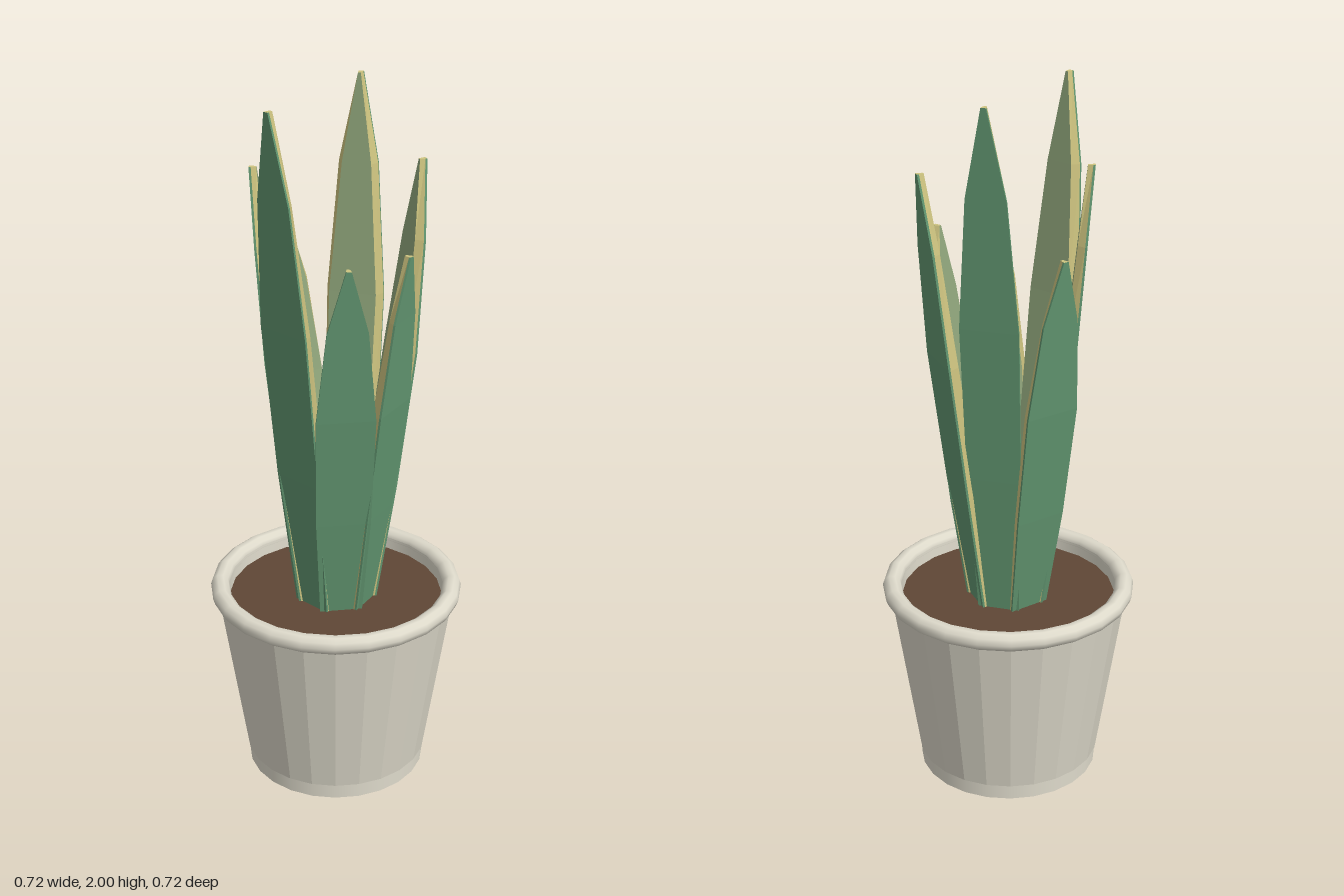
import * as THREE from 'three';

const mat = (name, color) => {
  const m = new THREE.MeshStandardMaterial({ color });
  m.name = name;
  return m;
};

export function createModel() {
  const ceramic = mat('cream ceramic', 0xdedacb);
  const earth = mat('brown soil', 0x5f4735);
  const leafBack = mat('deep leaf green', 0x639872);
  const leafFace = mat('pale leaf green', 0x92a87d);
  const margin = mat('yellow leaf margin', 0xcec480);

  const plant = new THREE.Group();
  plant.name = 'pottedPlant';

  const add = (parent, name, geometry, material, y = 0) => {
    const mesh = new THREE.Mesh(geometry, material);
    mesh.name = name;
    mesh.position.y = y;
    parent.add(mesh);
    return mesh;
  };
  const faceted = (geometry) => {
    const g = geometry.index ? geometry.toNonIndexed() : geometry;
    g.computeVertexNormals();
    return g;
  };

  // Pot: foot, tapered faceted wall, inner wall, rounded rim and soil
  const pot = new THREE.Group();
  pot.name = 'pot';
  plant.add(pot);
  add(pot, 'potFoot', new THREE.CylinderGeometry(0.257, 0.257, 0.05, 24), ceramic, 0.025);
  add(pot, 'potWall', faceted(new THREE.CylinderGeometry(0.341, 0.262, 0.515, 24, 1, true)), ceramic, 0.3025);
  const lining = new THREE.LatheGeometry(
    [new THREE.Vector2(0.306, 0.57), new THREE.Vector2(0.303, 0.5)], 24);
  add(pot, 'potLining', lining, ceramic);
  const rim = new THREE.TorusGeometry(0.332, 0.027, 10, 24).rotateX(Math.PI / 2);
  add(pot, 'potRim', rim, ceramic, 0.563);
  add(pot, 'soil', new THREE.CylinderGeometry(0.304, 0.3, 0.03, 24), earth, 0.52);

  // Leaf rows: height fraction, half width, lean fraction, thickness
  const rows = [
    [0, 0.058, 0, 0.048],
    [0.3, 0.076, 0.36, 0.042],
    [0.6, 0.081, 0.68, 0.034],
    [0.84, 0.055, 0.87, 0.026],
    [1, 0.007, 1, 0.02],
  ];
  const baseY = 0.5, baseRadius = 0.097;

  // One leaf leaning along +z: green back, sloped yellow edges, pale inner face
  const makeLeaf = (top, tipRadius) => {
    const leaf = new THREE.Group();
    const rings = rows.map(([t, w, lean, thick]) => {
      const y = baseY + (top - baseY) * t;
      const r = baseRadius + (tipRadius - baseRadius) * lean;
      const wi = Math.max(w - 0.014, 0.004);
      return [[-w, r], [w, r], [w, r - 0.006], [wi, r - thick], [-wi, r - thick], [-w, r - 0.006]]
        .map(([x, z]) => [x, y, z]);
    });
    const back = [], edge = [], face = [];
    const target = [back, back, edge, face, edge, back];
    for (let i = 0; i < rings.length - 1; i++) {
      for (let k = 0; k < 6; k++) {
        const n = (k + 1) % 6;
        const [a, b, c, d] = [rings[i][k], rings[i][n], rings[i + 1][n], rings[i + 1][k]];
        target[k].push(...a, ...b, ...c, ...a, ...c, ...d);
      }
    }
    // Tip cap
    const tip = rings[rings.length - 1];
    for (let k = 1; k < 5; k++) edge.push(...tip[0], ...tip[k], ...tip[k + 1]);

    const build = (name, positions, material) => {
      const g = new THREE.BufferGeometry();
      g.setAttribute('position', new THREE.Float32BufferAttribute(positions, 3));
      add(leaf, name, faceted(g), material);
    };
    build('leafBack', back, leafBack);
    build('leafMargin', edge, margin);
    build('leafFace', face, leafFace);
    return leaf;
  };

  // Ring of seven leaves: top height and tip distance from the centre
  const leaves = [
    [1.6, 0.228], [1.6, 0.231], [2, 0.253], [1.8, 0.227],
    [1.6, 0.254], [2, 0.226], [1.8, 0.255],
  ];
  leaves.forEach(([top, tipRadius], i) => {
    const leaf = makeLeaf(top, tipRadius);
    leaf.name = `leaf${i + 1}`;
    leaf.rotation.y = Math.PI / 2 - (i * Math.PI * 2) / leaves.length;
    plant.add(leaf);
  });

  return plant;
}
